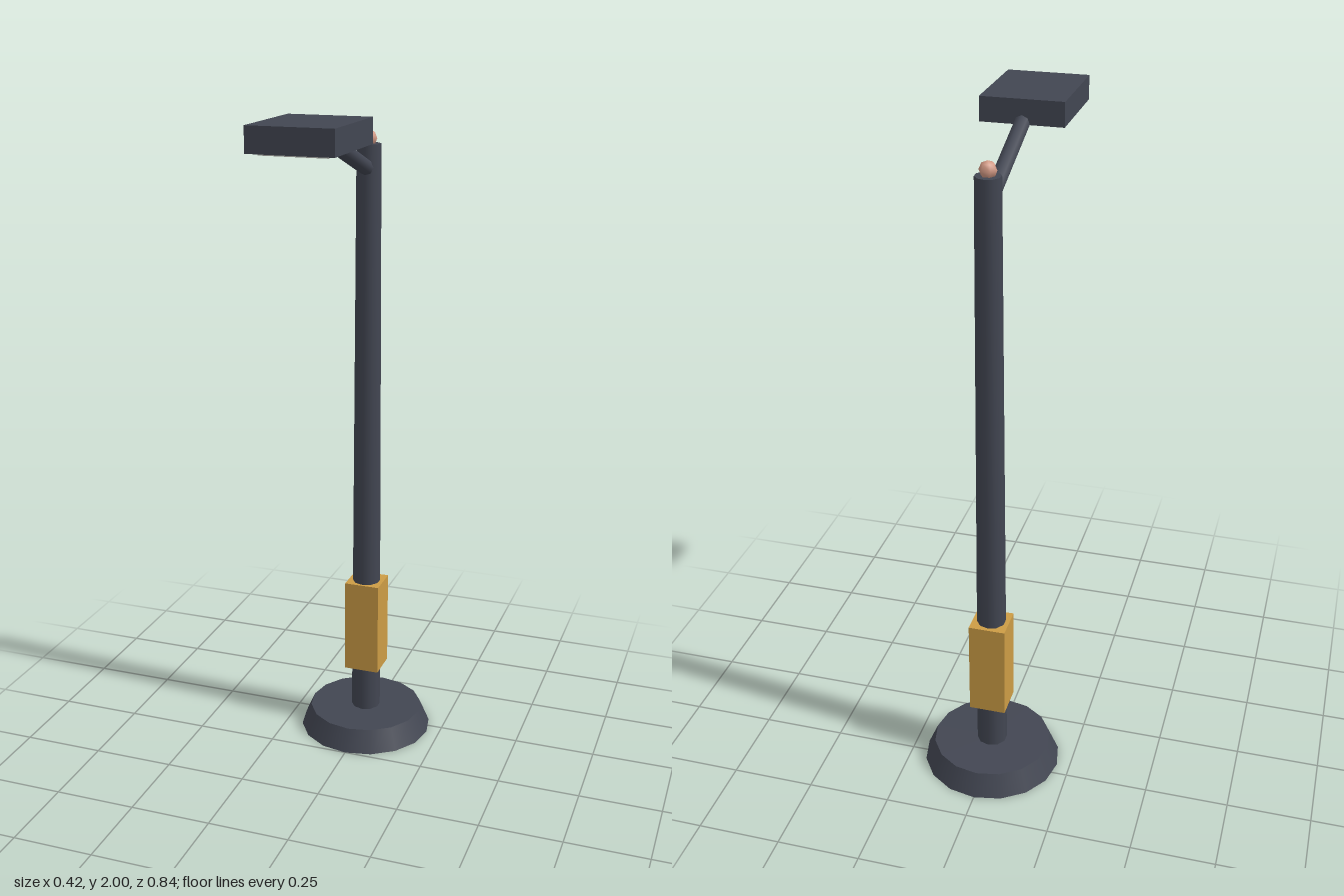
import * as THREE from 'three';

export function createModel() {
  const group = new THREE.Group();
  const paint = (name, color) => {
    const m = new THREE.MeshStandardMaterial({ color });
    m.name = name;
    return m;
  };
  const metal = paint('dark slate metal', 0x424652);
  const gold = paint('amber box', 0xcc9c45);
  const copper = paint('copper sensor', 0xd49a85);
  const glass = paint('pale lens', 0xb4b4b0);

  const add = (name, geometry, material, x, y, z) => {
    const mesh = new THREE.Mesh(geometry, material);
    mesh.name = name;
    mesh.position.set(x, y, z);
    group.add(mesh);
    return mesh;
  };
  const poleZ = -0.21;

  // Foot, tapering pole and the control box around it
  add('base', new THREE.CylinderGeometry(0.18, 0.21, 0.07, 16), metal, 0, 0.035, poleZ);
  add('pole', new THREE.CylinderGeometry(0.036, 0.046, 1.83, 10), metal, 0, 0.975, poleZ);
  add('controlBox', new THREE.BoxGeometry(0.11, 0.3, 0.105), gold, 0, 0.365, poleZ - 0.002);

  // Small faceted sensor on the pole top
  add('sensor', new THREE.SphereGeometry(0.025, 6, 4), copper, 0, 1.905, poleZ);

  // Sloping arm from the pole to the lamp head
  const from = new THREE.Vector3(0, 1.815, poleZ);
  const to = new THREE.Vector3(0, 1.942, 0.15);
  const dir = to.clone().sub(from);
  const mid = from.clone().add(to).multiplyScalar(0.5);
  const arm = add('arm', new THREE.CylinderGeometry(0.023, 0.023, dir.length(), 8), metal, mid.x, mid.y, mid.z);
  arm.quaternion.setFromUnitVectors(new THREE.Vector3(0, 1, 0), dir.normalize());

  // Lamp head with a thin lens underneath
  add('lampHead', new THREE.BoxGeometry(0.24, 0.07, 0.3), metal, 0, 1.965, 0.27);
  add('lens', new THREE.BoxGeometry(0.19, 0.008, 0.25), glass, 0, 1.928, 0.27);

  return group;
}
